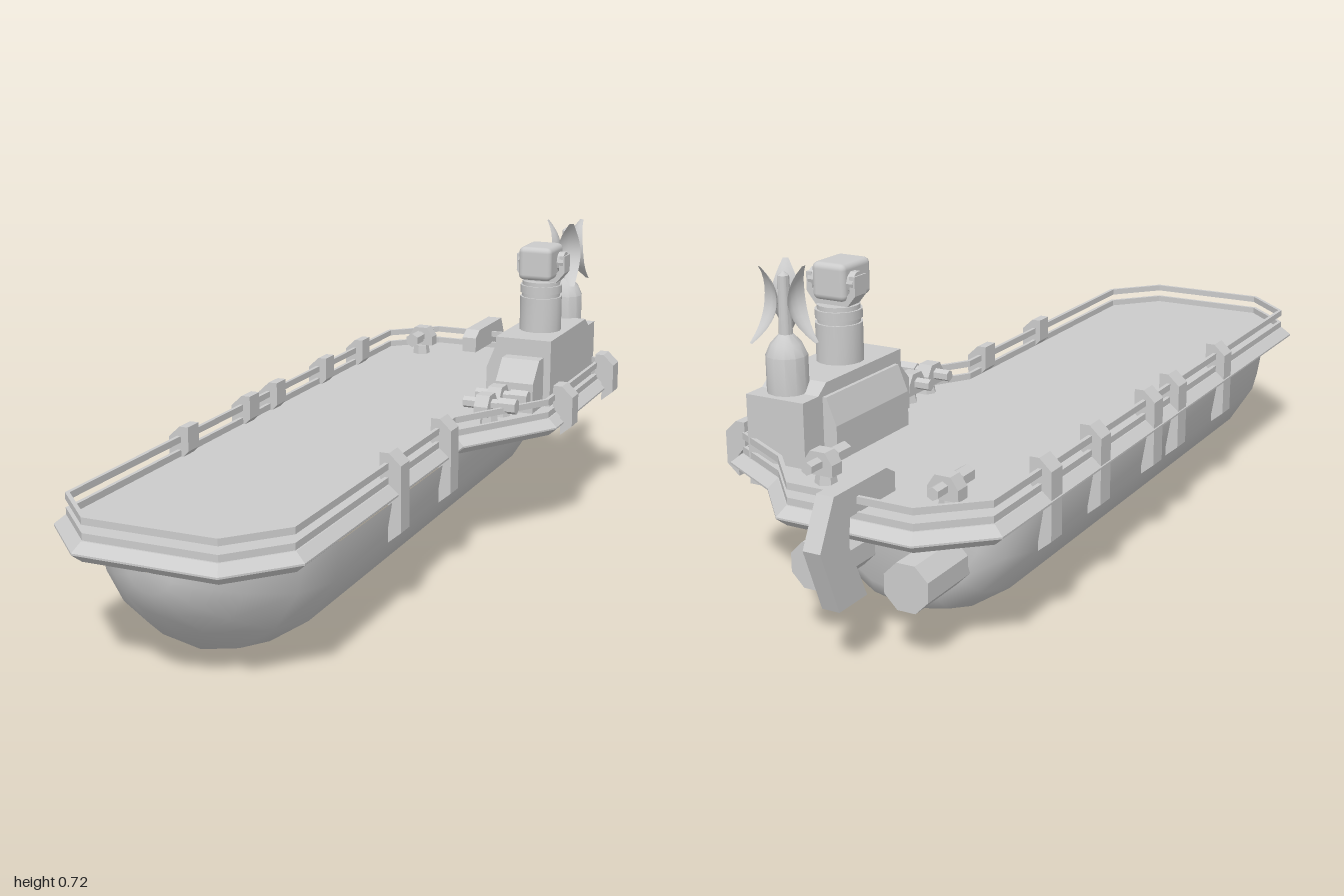
import * as THREE from 'three';
import { toCreasedNormals } from 'three/addons/utils/BufferGeometryUtils.js';
import { RoundedBoxGeometry } from 'three/addons/geometries/RoundedBoxGeometry.js';

const grey = new THREE.MeshStandardMaterial({ color: 0xcccccc });
const greyDouble = new THREE.MeshStandardMaterial({ color: 0xcccccc, side: THREE.DoubleSide });
const CX = -0.085; // centreline of the hull

// Deck outline as [x, z]
const OUTLINE = [[-0.24, -0.9], [0.07, -0.9], [0.18, -0.78], [0.345, -0.69], [0.345, -0.21], [0.195, 0.03],
  [0.195, 0.86], [0.08, 0.99], [-0.24, 0.99], [-0.37, 0.86], [-0.37, -0.78]];

function add(parent, name, geometry, x = 0, y = 0, z = 0, material = grey) {
  const mesh = new THREE.Mesh(geometry, material);
  mesh.name = name;
  mesh.position.set(x, y, z);
  parent.add(mesh);
  return mesh;
}

const shapeOf = pts => new THREE.Shape(pts.map(p => new THREE.Vector2(p[0], p[1])));
const round = (r1, r2, h, n) => toCreasedNormals(new THREE.CylinderGeometry(r1, r2, h, n), 0.6);

// Moves every edge of a closed outline inwards by d
function inset(pts, d) {
  const n = pts.length;
  return pts.map((p, i) => {
    const a = pts[(i + n - 1) % n], b = pts[(i + 1) % n];
    const u = new THREE.Vector2(p[0] - a[0], p[1] - a[1]).normalize();
    const v = new THREE.Vector2(b[0] - p[0], b[1] - p[1]).normalize();
    const k = d / (1 + u.dot(v));
    return [p[0] - (u.y + v.y) * k, p[1] + (u.x + v.x) * k];
  });
}

// Extrudes a [z, y] profile from x0 to x1
function extrudeX(pts, x0, x1) {
  const g = new THREE.ExtrudeGeometry(shapeOf(pts), { depth: x1 - x0, bevelEnabled: false });
  return g.rotateY(-Math.PI / 2).translate(x1, 0, 0);
}

// Extrudes an [x, y] profile centred on z = 0
function extrudeZ(pts, depth) {
  return new THREE.ExtrudeGeometry(shapeOf(pts), { depth, bevelEnabled: false }).translate(0, 0, -depth / 2);
}

// Rounded hull: one cross-section scaled along z
function hullGeometry() {
  const half = [[0.265, 0], [0.25, 0.09], [0.19, 0.185], [0.1, 0.245]];
  const section = [...half, [0, 0.265], ...half.map(p => [-p[0], p[1]]).reverse()];
  const rings = [[0.97, 0.01], [0.96, 0.19], [0.925, 0.41], [0.87, 0.63], [0.78, 0.89], [0.67, 1],
    [-0.58, 1], [-0.66, 0.9], [-0.697, 0.72], [-0.7, 0.001]];
  const pos = [], index = [], n = section.length;
  for (const [z, s] of rings) for (const [x, y] of section) pos.push(CX + x * s, 0.267 - y * s, z);
  for (let i = 0; i < rings.length - 1; i++) {
    for (let j = 0; j < n - 1; j++) {
      const a = i * n + j, b = a + n;
      index.push(a, a + 1, b, a + 1, b + 1, b);
    }
  }
  const g = new THREE.BufferGeometry();
  g.setAttribute('position', new THREE.Float32BufferAttribute(pos, 3));
  g.setIndex(index);
  return toCreasedNormals(g, 0.75);
}

// Hook-shaped fender over the rail; side is the outward x direction
function addFender(parent, x, z, side, bottom) {
  const pts = [[-0.05, 0.376], [-0.028, 0.376], [0, 0.35], [0, bottom + 0.025], [-0.03, bottom],
    [-0.03, 0.3], [-0.05, 0.32]];
  if (side < 0) pts.forEach(p => { p[0] *= -1; });
  add(parent, 'fender', extrudeZ(pts, 0.048), x, 0, z);
}

// Small deck gun with its barrel along +z
function addGun(parent, x, z, turn) {
  const gun = new THREE.Group();
  gun.name = 'deckGun';
  add(gun, 'gunBase', round(0.02, 0.025, 0.03, 6), 0, 0.315, 0);
  const body = [[-0.035, 0.33], [0.035, 0.33], [0.035, 0.355], [0.018, 0.38], [-0.018, 0.38], [-0.035, 0.355]];
  add(gun, 'gunBody', extrudeZ(body, 0.035), 0, 0, -0.01);
  add(gun, 'gunBarrel', round(0.014, 0.014, 0.13, 6).rotateX(Math.PI / 2), 0, 0.355, 0);
  add(gun, 'gunMuzzle', round(0.019, 0.019, 0.045, 6).rotateX(Math.PI / 2), 0, 0.355, 0.047);
  gun.position.set(x, 0, z);
  gun.rotation.y = turn;
  parent.add(gun);
}

// Oval antenna panel bowed away from the mast at both ends
function petalGeometry() {
  const g = new THREE.PlaneGeometry(1, 1, 4, 10);
  const p = g.attributes.position;
  for (let i = 0; i < p.count; i++) {
    const t = p.getY(i) + 0.5, u = p.getX(i);
    const w = 0.012 + 0.05 * Math.sin(Math.PI * t);
    const out = 0.018 + (t < 0.55 ? 0.2 : 0.17) * (t - 0.55) ** 2;
    p.setXYZ(i, u * w, 0.565 + 0.16 * t, out + 0.05 * u * u * Math.sin(Math.PI * t));
  }
  g.computeVertexNormals();
  return g;
}

export function createModel() {
  const ship = new THREE.Group();
  ship.name = 'ship';

  add(ship, 'hull', hullGeometry());

  // Deck slab with a pointed rim
  const deck = new THREE.ExtrudeGeometry(shapeOf(OUTLINE), {
    depth: 0.004, bevelThickness: 0.019, bevelSize: 0.022, bevelOffset: -0.022, bevelSegments: 1,
  }).rotateX(Math.PI / 2);
  add(ship, 'deck', deck, 0, 0.287, 0);

  // Two rails following the deck edge
  for (const top of [0.322, 0.354]) {
    const ring = shapeOf(inset(OUTLINE, 0.024));
    ring.holes.push(new THREE.Path(inset(OUTLINE, 0.033).map(p => new THREE.Vector2(...p))));
    const rail = new THREE.ExtrudeGeometry(ring, { depth: 0.015, bevelEnabled: false }).rotateX(Math.PI / 2);
    add(ship, 'rail', rail, 0, top, 0);
  }

  for (const z of [-0.55, -0.32, -0.04, 0.1, 0.39]) addFender(ship, -0.368, z, -1, 0.175);
  for (const z of [0.1, 0.39]) addFender(ship, 0.2, z, 1, 0.175);
  for (const z of [-0.65, -0.29]) addFender(ship, 0.366, z, 1, 0.252);

  // Stern fin hooked over the rail, with a thruster either side
  const fin = [[-0.74, 0.32], [-0.74, 0.36], [-0.77, 0.378], [-0.95, 0.378], [-1, 0.28], [-0.945, 0.14],
    [-0.85, 0.14], [-0.905, 0.26], [-0.9, 0.32]];
  add(ship, 'sternFin', extrudeX(fin, CX - 0.02, CX + 0.02));
  for (const side of [-1, 1]) {
    const thruster = new THREE.CylinderGeometry(0.054, 0.054, 0.2, 8).toNonIndexed();
    thruster.computeVertexNormals();
    thruster.rotateY(Math.PI / 8).rotateX(Math.PI / 2);
    add(ship, 'thruster', thruster, CX + side * 0.11, 0.172, -0.75);
  }

  // Deckhouse
  const house = [[-0.32, 0.25], [-0.32, 0.473], [-0.61, 0.473], [-0.64, 0.45], [-0.695, 0.45], [-0.695, 0.25]];
  add(ship, 'deckhouse', extrudeX(house, 0.145, 0.29));
  add(ship, 'deckhouseKeel', new THREE.BoxGeometry(0.07, 0.03, 0.36), 0.235, 0.259, -0.5);
  const step = [[-0.33, 0.3], [-0.33, 0.43], [-0.285, 0.43], [-0.24, 0.38], [-0.24, 0.3]];
  add(ship, 'deckhouseStep', extrudeX(step, 0.175, 0.272));
  const locker = [[0.15, 0.3], [0.15, 0.445], [0.136, 0.445], [0.112, 0.385], [0.112, 0.3]].reverse();
  add(ship, 'sideLocker', extrudeZ(locker, 0.28), 0, 0, -0.485);

  // Turret with a rounded sensor head in a yoke
  const TX = 0.2225, TZ = -0.45;
  add(ship, 'turretBase', round(0.053, 0.053, 0.09, 16), TX - 0.004, 0.515, TZ);
  add(ship, 'turretNeck', round(0.048, 0.048, 0.05, 16), TX - 0.004, 0.575, TZ);
  add(ship, 'turretRing', round(0.053, 0.053, 0.02, 16), TX - 0.004, 0.58, TZ);
  const outer = [[0.063, 0.668], [0.063, 0.625], [0.04, 0.597]];
  const inner = [[0.03, 0.61], [0.049, 0.632], [0.049, 0.668]];
  const flip = pts => pts.map(p => [-p[0], p[1]]).reverse();
  const yoke = [...outer, ...flip(outer), ...flip(inner), ...inner];
  add(ship, 'sensorYoke', extrudeZ(yoke, 0.045), TX, 0, TZ);
  add(ship, 'sensorHead', new RoundedBoxGeometry(0.086, 0.084, 0.11, 2, 0.014), TX, 0.652, -0.43);
  add(ship, 'sensorPivot', round(0.025, 0.025, 0.118, 10).rotateZ(Math.PI / 2), TX, 0.652, TZ);

  // Antenna mast with three bowed panels
  const mast = [[0, 0.44], [0.045, 0.44], [0.045, 0.53], [0.034, 0.555], [0.015, 0.575], [0.012, 0.7], [0, 0.71]];
  const mastGeometry = new THREE.LatheGeometry(mast.map(p => new THREE.Vector2(...p)), 12);
  add(ship, 'antennaMast', toCreasedNormals(mastGeometry, 0.6), 0.225, 0, -0.635);
  for (let i = 0; i < 3; i++) {
    const panel = add(ship, 'antennaPanel', petalGeometry(), 0.225, 0, -0.635, greyDouble);
    panel.rotation.y = -Math.PI / 2 + i * Math.PI * 2 / 3;
  }

  // Deck guns at the stern and beside the deckhouse
  for (const x of [-0.228, 0.065]) addGun(ship, x, -0.735, 0);
  for (const z of [-0.2, -0.115]) addGun(ship, 0.205, z, Math.PI / 2);

  return ship;
}
